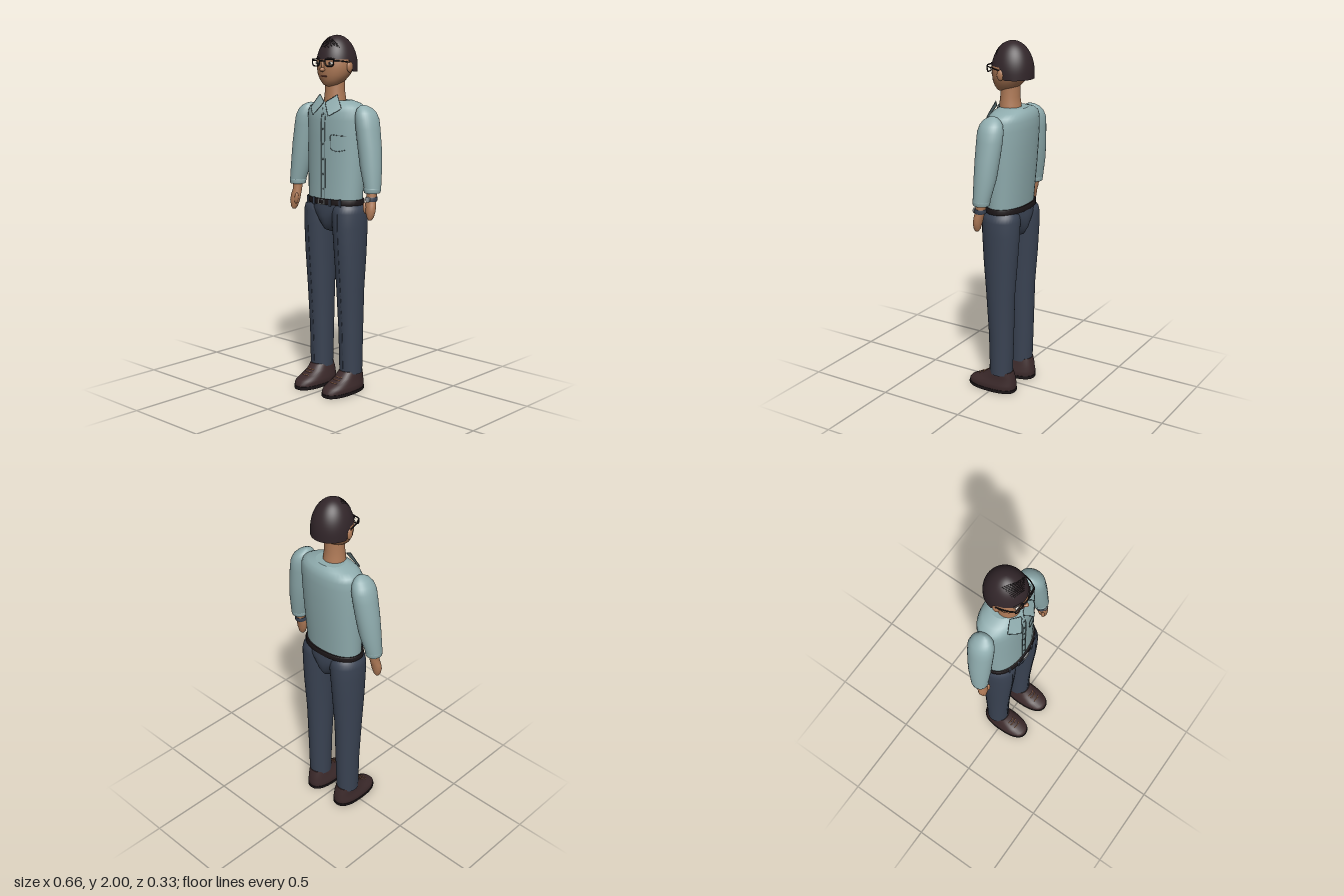
import * as THREE from 'three';

const mat = (name, color, extra = {}) => {
  const m = new THREE.MeshStandardMaterial({ color, ...extra });
  m.name = name;
  return m;
};

// Surface from nv+1 closed rings of nu points each, rings rising, capped at both ends
function ringSurface(nu, nv, point) {
  const pos = [], idx = [];
  for (let j = 0; j <= nv; j++)
    for (let i = 0; i < nu; i++) pos.push(...point((i / nu) * Math.PI * 2, j));
  for (let j = 0; j < nv; j++)
    for (let i = 0; i < nu; i++) {
      const a = j * nu + i, b = j * nu + (i + 1) % nu;
      idx.push(a, a + nu, b, b, a + nu, b + nu);
    }
  for (const j of [0, nv]) {
    const base = pos.length / 3, c = [0, 0, 0];
    for (let i = 0; i < nu; i++) {
      const p = pos.slice((j * nu + i) * 3, (j * nu + i) * 3 + 3);
      pos.push(...p);
      p.forEach((v, k) => { c[k] += v / nu; });
    }
    pos.push(...c);
    for (let i = 0; i < nu; i++) {
      const a = base + i, b = base + (i + 1) % nu;
      idx.push(base + nu, ...(j ? [b, a] : [a, b]));
    }
  }
  const g = new THREE.BufferGeometry();
  g.setAttribute('position', new THREE.Float32BufferAttribute(pos, 3));
  g.setIndex(idx);
  g.computeVertexNormals();
  return g;
}

// Loft through sections [y, centreX, centreZ, radiusX, radiusZ]; n squares the outline
const bend = (v, n) => Math.sign(v) * Math.abs(v) ** (2 / n);
const loft = (rows, s = 1, n = 2) => ringSurface(36, rows.length - 1, (t, j) => {
  const [y, cx, cz, rx, rz] = rows[j];
  return [s * cx + rx * bend(Math.cos(t), n), y, cz + rz * bend(Math.sin(t), n)];
});

// Front depth of a loft at a given x, y
function frontZ(rows, x, y, n = 2) {
  let k = 0;
  while (k < rows.length - 2 && rows[k + 1][0] < y) k++;
  const f = (y - rows[k][0]) / (rows[k + 1][0] - rows[k][0]);
  const [, cx, cz, rx, rz] = rows[k].map((v, i) => v + (rows[k + 1][i] - v) * f);
  return cz + rz * Math.max(0, 1 - Math.abs((x - cx) / rx) ** n) ** (1 / n);
}

const tube = (pts, r, closed = false, tension = 0.5) => new THREE.TubeGeometry(
  new THREE.CatmullRomCurve3(pts.map(p => new THREE.Vector3(...p)), closed, 'catmullrom', tension),
  Math.max(16, pts.length * 6), r, 6, closed);

const TORSO = [[1.09, 0, -.037, .178, .1], [1.2, 0, -.042, .182, .104], [1.32, 0, -.047, .187, .109],
  [1.45, 0, -.051, .191, .114], [1.54, 0, -.053, .193, .115], [1.585, 0, -.054, .191, .112],
  [1.61, 0, -.056, .18, .104], [1.63, 0, -.058, .145, .091], [1.645, 0, -.06, .085, .07]];
const ARM = [[1.16, .283, -.025, .041, .043], [1.185, .283, -.027, .046, .048], [1.3, .262, -.037, .06, .062],
  [1.4, .248, -.042, .064, .068], [1.5, .232, -.046, .063, .073], [1.55, .225, -.047, .06, .073],
  [1.585, .216, -.047, .052, .064], [1.608, .207, -.046, .037, .047], [1.622, .2, -.046, .018, .024], [1.626, .198, -.046, .003, .004]];
const HAND = [[1.01, .29, 0, .008, .01], [1.025, .29, -.002, .019, .019], [1.06, .288, -.005, .031, .025],
  [1.095, .285, -.011, .031, .026], [1.125, .283, -.02, .026, .027], [1.175, .283, -.025, .029, .03]];
const LEG = [[.11, .113, -.045, .064, .066], [.35, .112, -.045, .067, .073], [.6, .112, -.04, .074, .084],
  [.8, .111, -.04, .083, .1], [.95, .108, -.04, .089, .109], [1.03, .104, -.04, .095, .109],
  [1.06, .102, -.04, .09, .104], [1.08, .1, -.04, .075, .09]];
const PELVIS = [[.915, 0, -.04, .02, .04], [.93, 0, -.04, .04, .08], [.97, 0, -.04, .068, .104],
  [1.01, 0, -.04, .11, .111], [1.05, 0, -.04, .165, .112], [1.09, 0, -.038, .18, .106]];
const SHOE = [[.018, .108, .015, .07, .147], [.035, .108, .014, .072, .148], [.05, .108, .008, .07, .141],
  [.068, .108, -.01, .064, .12], [.09, .109, -.032, .06, .094], [.125, .112, -.045, .055, .07]];
const SOLE = [[0, .108, .015, .069, .147], [.006, .108, .015, .073, .151], [.02, .108, .015, .073, .151]];
const HEAD = [[1.722, 0, 0, .018, .022], [1.732, 0, -.005, .045, .046], [1.755, 0, -.016, .071, .068],
  [1.785, 0, -.026, .091, .087], [1.82, 0, -.036, .103, .1], [1.86, 0, -.041, .107, .106],
  [1.9, 0, -.045, .096, .102], [1.94, 0, -.05, .07, .075]];

export function createModel() {
  const model = new THREE.Group();
  model.name = 'standingMan';
  const M = {
    shirt: mat('shirt', 0x90adaf, { side: THREE.DoubleSide }), seam: mat('shirtSeam', 0x526366),
    trousers: mat('trousers', 0x3a4353), skin: mat('skin', 0xb07b58), hair: mat('hair', 0x32262a),
    shoe: mat('shoeLeather', 0x3c2a2b), black: mat('black', 0x1d1719), metal: mat('metal', 0x9a9da0),
    white: mat('eyeWhite', 0xe4dfd8), lip: mat('lips', 0x84493d),
  };
  const add = (name, geo, m, p = [0, 0, 0], scale = [1, 1, 1], parent = model) => {
    const o = new THREE.Mesh(geo, m);
    o.name = name;
    o.position.set(...p);
    o.scale.set(...scale);
    parent.add(o);
    return o;
  };
  const ball = new THREE.SphereGeometry(1, 20, 14);
  const box = (w, h, d) => new THREE.BoxGeometry(w, h, d);
  const onShirt = (x, y, lift = .001) => [x, y, frontZ(TORSO, x, y, 2.2) + lift];

  // Shirt body with placket, buttons and chest pocket
  add('shirtBody', loft(TORSO, 1, 2.2), M.shirt);
  const heights = [1.11, 1.2, 1.32, 1.45, 1.54, 1.61];
  for (const x of [-.014, .014])
    add('placketSeam', tube(heights.map(y => onShirt(x, y)), .002), M.seam);
  for (let i = 0; i < 6; i++)
    add('shirtButton', ball, M.seam, onShirt(0, 1.16 + i * .083, .002), [.005, .005, .003]);
  const pocket = [[.145, 1.458], [.1, 1.46], [.055, 1.46], [.053, 1.42], [.055, 1.385], [.075, 1.376], [.1, 1.373], [.14, 1.382]];
  add('pocketSeam', tube(pocket.map(p => onShirt(...p)), .002), M.seam);

  // Trousers top, belt, buckle and loops
  add('trouserSeat', loft(PELVIS), M.trousers);
  const BELT = [[1.075, 0, -.037, .184, .11], [1.079, 0, -.037, .188, .114], [1.102, 0, -.037, .188, .114], [1.106, 0, -.037, .184, .11]];
  add('belt', loft(BELT, 1, 2.2), M.black);
  for (const y of [-.012, .012]) add('buckleBar', box(.044, .005, .008), M.metal, [0, 1.09 + y, .08]);
  for (const x of [-.02, .02]) add('buckleSide', box(.005, .028, .008), M.metal, [x, 1.09, .08]);
  for (const x of [-.12, -.06, .06, .12])
    add('beltLoop', box(.012, .042, .008), M.trousers, [x, 1.09, frontZ(BELT, x, 1.09, 2.2) + .001]);

  for (const s of [1, -1]) {
    // Leg with front crease and shoe
    const leg = new THREE.Group();
    leg.name = s > 0 ? 'leftLeg' : 'rightLeg';
    model.add(leg);
    add('trouserLeg', loft(LEG, s), M.trousers, undefined, undefined, leg);
    const crease = [.14, .35, .6, .8, .95, 1.03].map(y => [s * .112, y, frontZ(LEG, .112, y)]);
    add('trouserCrease', tube(crease, .0015), M.trousers, undefined, undefined, leg);
    add('shoe', loft(SHOE, s, 2.4), M.shoe, undefined, undefined, leg);
    add('shoeSole', loft(SOLE, s, 2.4), M.black, undefined, undefined, leg);
    for (const y of [.074, .086, .098]) {
      const lace = [-.025, 0, .025].map(x => [s * .109 + x, y, frontZ(SHOE, .109 + x, y, 2.4) + .002]);
      add('shoelace', tube(lace, .0025), M.skin, undefined, undefined, leg);
    }

    // Sleeve, cuff seam, hand and thumb
    const arm = new THREE.Group();
    arm.name = s > 0 ? 'leftArm' : 'rightArm';
    model.add(arm);
    add('sleeve', loft(ARM, s), M.shirt, undefined, undefined, arm);
    add('cuff', loft([[1.157, .283, -.025, .041, .043], [1.16, .283, -.025, .044, .046],
      [1.18, .283, -.026, .047, .049], [1.184, .283, -.026, .045, .047]], s), M.shirt, undefined, undefined, arm);
    add('hand', loft(HAND, s), M.skin, undefined, undefined, arm);
    add('thumb', ball, M.skin, [s * .262, 1.075, .01], [.011, .032, .012], arm).rotation.z = s * .15;

    // Pointed collar flap with an edge seam
    const flap = [[s * .065, 1.678, .018], [s * .115, 1.605, .04], [s * .058, 1.565, .085], [s * .004, 1.637, .05]];
    const g = new THREE.BufferGeometry();
    g.setAttribute('position', new THREE.Float32BufferAttribute(flap.flat(), 3));
    g.setIndex(s > 0 ? [0, 3, 2, 0, 2, 1] : [0, 2, 3, 0, 1, 2]);
    g.computeVertexNormals();
    add('collarFlap', g, M.shirt);
    add('collarEdge', tube(flap, .0018, true, 0), M.seam);

    // Ear, eye, brow and spectacle side
    add('ear', ball, M.skin, [s * .107, 1.828, -.035], [.012, .03, .02]);
    add('eyeWhite', ball, M.white, [s * .045, 1.848, .052], [.019, .009, .008]);
    add('iris', ball, M.black, [s * .045, 1.848, .058], [.007, .007, .004]);
    add('eyebrow', tube([[s * .022, 1.871, .062], [s * .045, 1.876, .057], [s * .07, 1.87, .043]], .004), M.hair);
    const rim = [[.021, 1.868], [.05, 1.87], [.079, 1.868], [.077, 1.842], [.067, 1.833], [.035, 1.833], [.023, 1.842]];
    add('spectacleRim', tube(rim.map(([x, y]) => [s * x, y, .071 - x * .1]), .0035, true, .25), M.black);
    add('spectacleTemple', tube([[s * .079, 1.864, .063], [s * .1, 1.86, .02], [s * .112, 1.853, -.035]], .0035), M.black);
  }

  // Wristwatch on the left wrist
  add('watchBand', loft([[1.112, .283, -.018, .03, .031], [1.116, .283, -.019, .032, .033],
    [1.132, .283, -.02, .032, .033], [1.136, .283, -.021, .03, .031]]), M.trousers);
  const face = add('watchFace', new THREE.CylinderGeometry(.015, .015, .008, 20), M.metal, [.286, 1.124, .015]);
  face.rotation.x = Math.PI / 2;

  // Neck, head, nose and mouth
  add('neck', loft([[1.625, 0, -.035, .064, .062], [1.66, 0, -.034, .062, .058], [1.7, 0, -.033, .056, .053], [1.76, 0, -.035, .056, .053]]), M.skin);
  add('head', loft(HEAD), M.skin);
  add('nose', ball, M.skin, [0, 1.814, .066], [.014, .012, .019]);
  add('noseBridge', ball, M.skin, [0, 1.832, .062], [.009, .028, .011]);
  add('mouth', tube([[-.022, 1.779, .055], [0, 1.777, .061], [.022, 1.779, .055]], .0035), M.lip);
  add('spectacleBridge', tube([[-.021, 1.858, .07], [0, 1.862, .075], [.021, 1.858, .07]], .0035), M.black);

  // Hair cap: short over the brow, long behind the ears
  const dome = y => Math.sqrt(Math.max(0, 1 - (Math.max(0, y - 1.83) / .17) ** 2));
  add('hairCap', ringSurface(64, 18, (t, j) => {
    const low = 1.802 + .066 * THREE.MathUtils.smoothstep(Math.sin(t), -.12, .2);
    const y = low + (2 - low) * Math.sin((j / 18) * Math.PI / 2);
    const r = Math.max(dome(y), .004);
    return [.111 * r * Math.cos(t), y, -.049 + .118 * r * Math.sin(t)];
  }), M.hair);

  // Combed strands sweeping over the brow
  const onHair = (x, z) => [x, 1.83 + .17 * Math.sqrt(Math.max(.02, 1 - (x / .111) ** 2 - ((z + .049) / .118) ** 2)), z];
  for (let i = 0; i < 9; i++) {
    const strand = [];
    for (let k = 0; k <= 6; k++) {
      const f = k / 6;
      strand.push(onHair(-.052 + f * (.125 - i * .007), -.035 + i * .008 + f * .042 - f * i * .003 + .02 * Math.sin(f * Math.PI) * (1 - i / 9)));
    }
    add('hairStrand', tube(strand, .0016), M.black);
  }
  return model;
}
